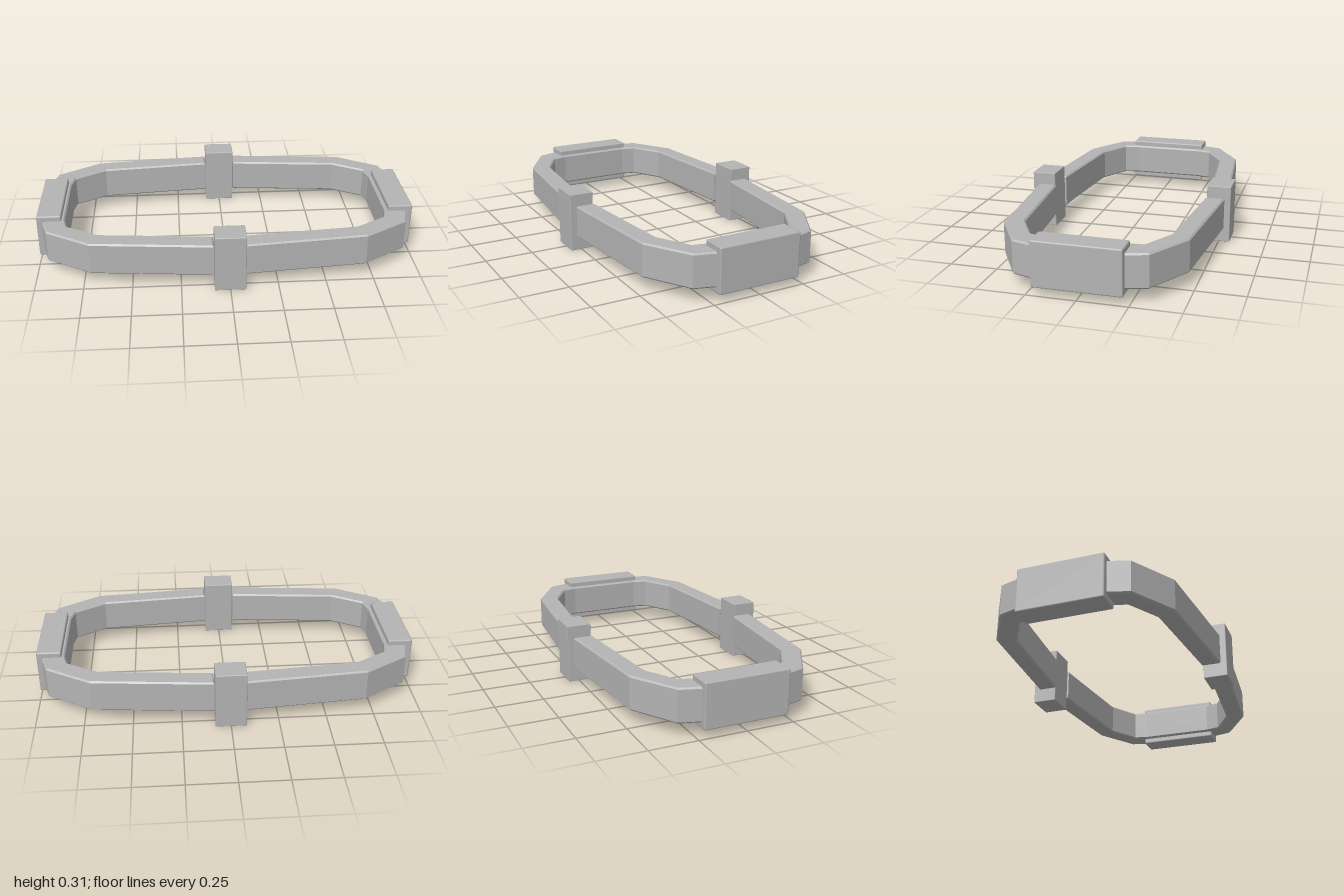
import * as THREE from 'three';
import { RoundedBoxGeometry } from 'three/addons/geometries/RoundedBoxGeometry.js';

const BEVEL = 0.008;

// Half of the faceted ring in plan, drawn from its outer and inner edges
function armGeometry() {
  const outer = [[0.083, 0.525], [0.71, 0.468], [0.94, 0.33], [0.978, 0.2]];
  const inner = [[0.083, 0.423], [0.67, 0.37], [0.835, 0.275], [0.853, 0.2]];
  const mirror = (pts) => pts.map(([x, z]) => [x, -z]).reverse();
  const outline = [...mirror(outer).reverse(), ...outer.slice().reverse(), ...inner, ...mirror(inner)];
  const shape = new THREE.Shape(outline.map(([x, z]) => new THREE.Vector2(x, z)));
  const geometry = new THREE.ExtrudeGeometry(shape, {
    depth: 0.175 - 2 * BEVEL,
    bevelEnabled: true,
    bevelThickness: BEVEL,
    bevelSize: BEVEL,
    bevelOffset: -BEVEL,
    bevelSegments: 1,
  });
  geometry.rotateX(-Math.PI / 2);
  geometry.translate(0, 0.07 + BEVEL, 0);
  return geometry;
}

export function createModel() {
  const model = new THREE.Group();
  model.name = 'linkFrame';
  const metal = new THREE.MeshStandardMaterial({ color: 0xb4b4b4 });
  metal.name = 'grey metal';

  const add = (name, geometry, x, y, z) => {
    const mesh = new THREE.Mesh(geometry, metal);
    mesh.name = name;
    mesh.position.set(x, y, z);
    model.add(mesh);
    return mesh;
  };

  // Two C-shaped arms that meet at the front and back clamps
  const arm = armGeometry();
  add('leftArm', arm, 0, 0, 0);
  add('rightArm', arm, 0, 0, 0).rotation.y = Math.PI;

  // Tall clamps over the joints, long blocks over the two ends
  const clamp = new RoundedBoxGeometry(0.16, 0.308, 0.128, 1, 0.004);
  const block = new RoundedBoxGeometry(0.13, 0.234, 0.445, 1, 0.008);
  for (const [side, s] of [['front', 1], ['back', -1]]) add(side + 'Clamp', clamp, 0, 0.154, s * 0.494);
  for (const [side, s] of [['left', 1], ['right', -1]]) add(side + 'Block', block, s * 0.935, 0.157, 0);

  return model;
}
